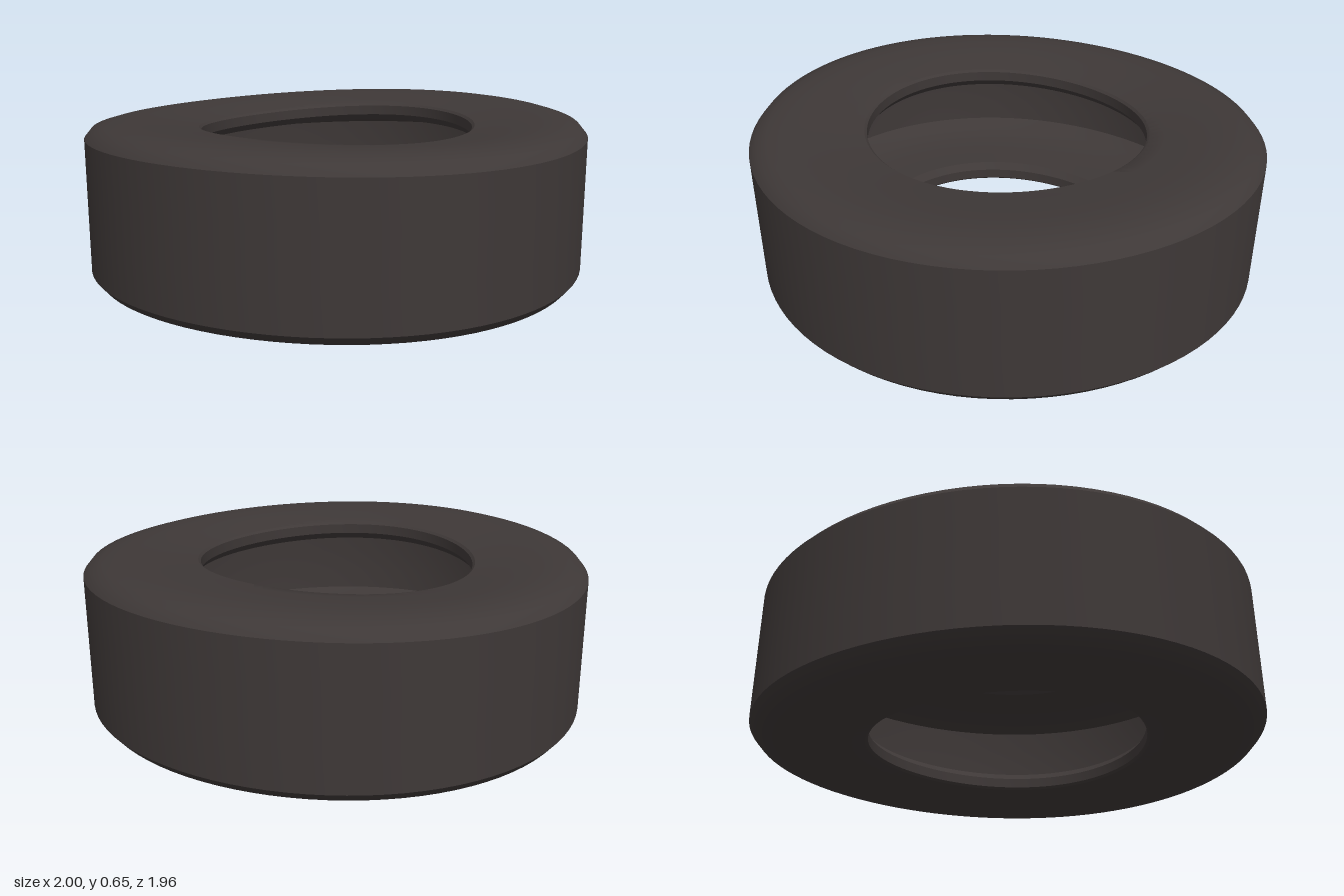
import * as THREE from 'three';
import { toCreasedNormals } from 'three/addons/utils/BufferGeometryUtils.js';

const MID = 0.325; // mid-height of the tyre

// Upper half of the tyre section as [radius, height above the middle], from tread to inner liner
const upperHalf = [
  [1.0, 0.1], [1.0, 0.255],                              // tread
  [0.972, 0.288], [0.93, 0.3], [0.88, 0.308],            // shoulder
  [0.8, 0.306], [0.7, 0.296], [0.62, 0.285], [0.56, 0.277], // sidewall
  [0.55, 0.268], [0.55, 0.228],                          // bead
  [0.575, 0.2], [0.66, 0.198], [0.78, 0.195], [0.88, 0.175], [0.94, 0.14], // inner sidewall
  [0.945, 0.05],                                         // inner liner
];

function tyreProfile() {
  const upper = upperHalf.map(([r, h]) => new THREE.Vector2(r, MID + h));
  const lower = upperHalf.map(([r, h]) => new THREE.Vector2(r, MID - h)).reverse();
  return [...upper, ...lower, upper[0].clone()];
}

// Slight sag and ovalness of soft old rubber
function warp(geometry) {
  const p = geometry.attributes.position;
  for (let i = 0; i < p.count; i++) {
    const x = p.getX(i), y = p.getY(i), z = p.getZ(i);
    const r2 = x * x + z * z;
    const sag = 0.012 * (x * x - z * z) / r2 + 0.007 * z / Math.sqrt(r2);
    p.setXYZ(i, x - 0.015 * z, y + sag, z * 0.98);
  }
  return geometry;
}

export function createModel() {
  const model = new THREE.Group();
  model.name = 'tyreModel';

  const rubber = new THREE.MeshStandardMaterial({ color: 0x3e3837 });
  rubber.name = 'darkRubber';

  // Hollow tyre: one closed section turned about the axle
  const body = warp(new THREE.LatheGeometry(tyreProfile(), 96));
  const tyre = new THREE.Mesh(toCreasedNormals(body, 0.6), rubber);
  tyre.name = 'tyre';
  model.add(tyre);

  return model;
}
